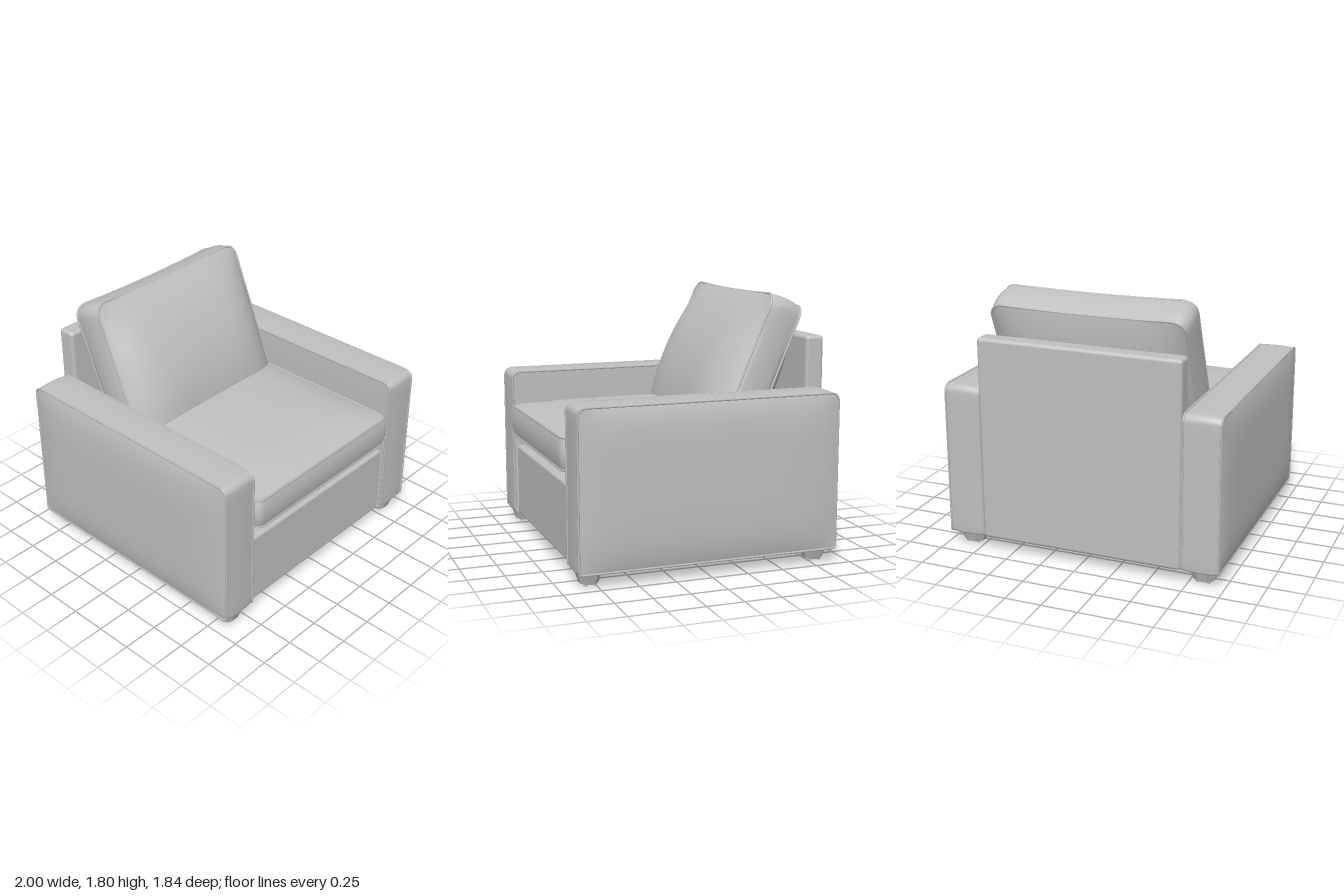
import * as THREE from 'three';
import { toCreasedNormals } from 'three/addons/utils/BufferGeometryUtils.js';
import { RoundedBoxGeometry } from 'three/addons/geometries/RoundedBoxGeometry.js';

const upholstery = new THREE.MeshStandardMaterial({ color: 0xbfbfbf });
upholstery.name = 'grey upholstery';

// Rounded-rectangle loop, counter-clockwise, with its own top and bottom corner radii.
// grow pushes the loop outwards; dip sags the middle of the top edge.
function outline({ hw, hh, rTop, rBottom, dip = 0 }, grow = 0) {
  const w = hw + grow, h = hh + grow, pts = [];
  const corners = [[1, 1, rTop], [-1, 1, rTop], [-1, -1, rBottom], [1, -1, rBottom]];
  corners.forEach(([sx, sy, r], i) => {
    const cx = sx * (w - r), cy = sy * (h - r);
    for (let k = 0; k <= 6; k++) {
      const a = (i + k / 6) * Math.PI / 2;
      pts.push(new THREE.Vector2(cx + r * Math.cos(a), cy + r * Math.sin(a)));
    }
    // Subdivide the straight edge to the next corner.
    const [nx, ny, nr] = corners[(i + 1) % 4];
    const a = (i + 1) * Math.PI / 2;
    const end = new THREE.Vector2(nx * (w - nr) + nr * Math.cos(a), ny * (h - nr) + nr * Math.sin(a));
    const start = pts[pts.length - 1].clone();
    for (let k = 1; k < 14; k++) pts.push(start.clone().lerp(end, k / 14));
  });
  for (const p of pts) if (p.y > 0) p.y -= dip * (1 - (p.x / w) ** 2) * (p.y / h);
  return pts;
}

// Stuffed panel: crowned back, gently swollen side wall, crowned front.
function paddedGeometry(o) {
  const { hw, hh, depth, front, back, swell, px, py } = o;
  const crown = (p) => Math.max(0, 1 - Math.abs(p.x / hw) ** px) * Math.max(0, 1 - Math.abs(p.y / hh) ** py);
  const rings = [], base = outline(o), N = 14;
  const cap = (i, sign, bulge) => {
    const s = Math.max(0.001, Math.sin((i / N) * Math.PI / 2));
    return base.map((p) => {
      const q = p.clone().multiplyScalar(s);
      return [q.x, q.y, sign * (depth / 2 + bulge * crown(q))];
    });
  };
  for (let i = 0; i <= N; i++) rings.push(cap(i, -1, back));
  for (let k = 1; k < 6; k++) {
    const t = k / 6;
    rings.push(outline(o, swell * 4 * t * (1 - t)).map((p) => [p.x, p.y, (t - 0.5) * depth]));
  }
  for (let i = N; i >= 0; i--) rings.push(cap(i, 1, front));

  const n = base.length, index = [];
  for (let r = 0; r < rings.length - 1; r++) {
    for (let i = 0; i < n; i++) {
      const a = r * n + i, b = r * n + (i + 1) % n;
      index.push(a, b, b + n, a, b + n, a + n);
    }
  }
  const g = new THREE.BufferGeometry();
  g.setAttribute('position', new THREE.Float32BufferAttribute(rings.flat(2), 3));
  g.setIndex(index);
  return toCreasedNormals(g, 0.65);
}

function addMesh(parent, name, geometry, x = 0, y = 0, z = 0) {
  const m = new THREE.Mesh(geometry, upholstery);
  m.name = name;
  m.position.set(x, y, z);
  parent.add(m);
  return m;
}

// Padded panel with a welt cord around each seam.
function padded(name, o) {
  const group = new THREE.Group();
  group.name = name;
  addMesh(group, name + 'Padding', paddedGeometry(o));
  for (const side of [-1, 1]) {
    const path = outline(o).map((p) => new THREE.Vector3(p.x, p.y, side * o.depth / 2));
    const curve = new THREE.CatmullRomCurve3(path, true);
    addMesh(group, name + 'Piping', new THREE.TubeGeometry(curve, 220, 0.008, 6, true));
  }
  return group;
}

// Tapered foot with four small floor pads.
function foot(x, z) {
  const group = new THREE.Group();
  group.name = 'foot';
  group.position.set(x, 0, z);
  const body = new THREE.CylinderGeometry(0.108, 0.076, 0.08, 8);
  body.rotateY(Math.PI / 8);
  body.scale(1, 1, 0.84);
  addMesh(group, 'footBlock', toCreasedNormals(body, 0.4), 0, 0.055, 0);
  for (const px of [-1, 1]) for (const pz of [-1, 1]) {
    addMesh(group, 'floorPad', new THREE.CylinderGeometry(0.011, 0.011, 0.02, 10), px * 0.038, 0.01, pz * 0.032);
  }
  return group;
}

export function createModel() {
  const chair = new THREE.Group();
  chair.name = 'armchair';

  // Frame
  addMesh(chair, 'seatBase', new RoundedBoxGeometry(1.4, 0.52, 1.68, 4, 0.02), 0, 0.35, 0.025);
  addMesh(chair, 'backPanel', new RoundedBoxGeometry(1.415, 1.41, 0.13, 4, 0.025), 0, 0.8, -0.857);

  // Arms, mirrored
  for (const side of [-1, 1]) {
    const arm = padded(side > 0 ? 'leftArm' : 'rightArm', {
      hw: 0.895, hh: 0.528, rTop: 0.05, rBottom: 0.015,
      depth: 0.25, front: 0.036, back: 0.004, swell: 0.006, px: 8, py: 5,
    });
    arm.rotation.y = side * Math.PI / 2;
    arm.position.set(side * 0.838, 0.625, -0.01);
    chair.add(arm);
  }

  // Seat cushion, front edge overhanging the base
  const seat = padded('seatCushion', {
    hw: 0.678, hh: 0.775, rTop: 0.06, rBottom: 0.06,
    depth: 0.21, front: 0.075, back: 0.085, swell: 0.016, px: 4, py: 5,
  });
  seat.rotation.x = -Math.PI / 2;
  seat.position.set(0, 0.81, 0.125);
  chair.add(seat);

  // Back cushion, leaning on the back panel
  const back = padded('backCushion', {
    hw: 0.675, hh: 0.62, rTop: 0.09, rBottom: 0.09, dip: 0.016,
    depth: 0.23, front: 0.16, back: 0.14, swell: 0.014, px: 5, py: 2.1,
  });
  back.rotation.x = -0.398;
  back.position.set(0, 1.175, -0.434);
  chair.add(back);

  // Feet
  for (const x of [-0.84, 0.84]) for (const z of [-0.797, 0.79]) chair.add(foot(x, z));

  return chair;
}
